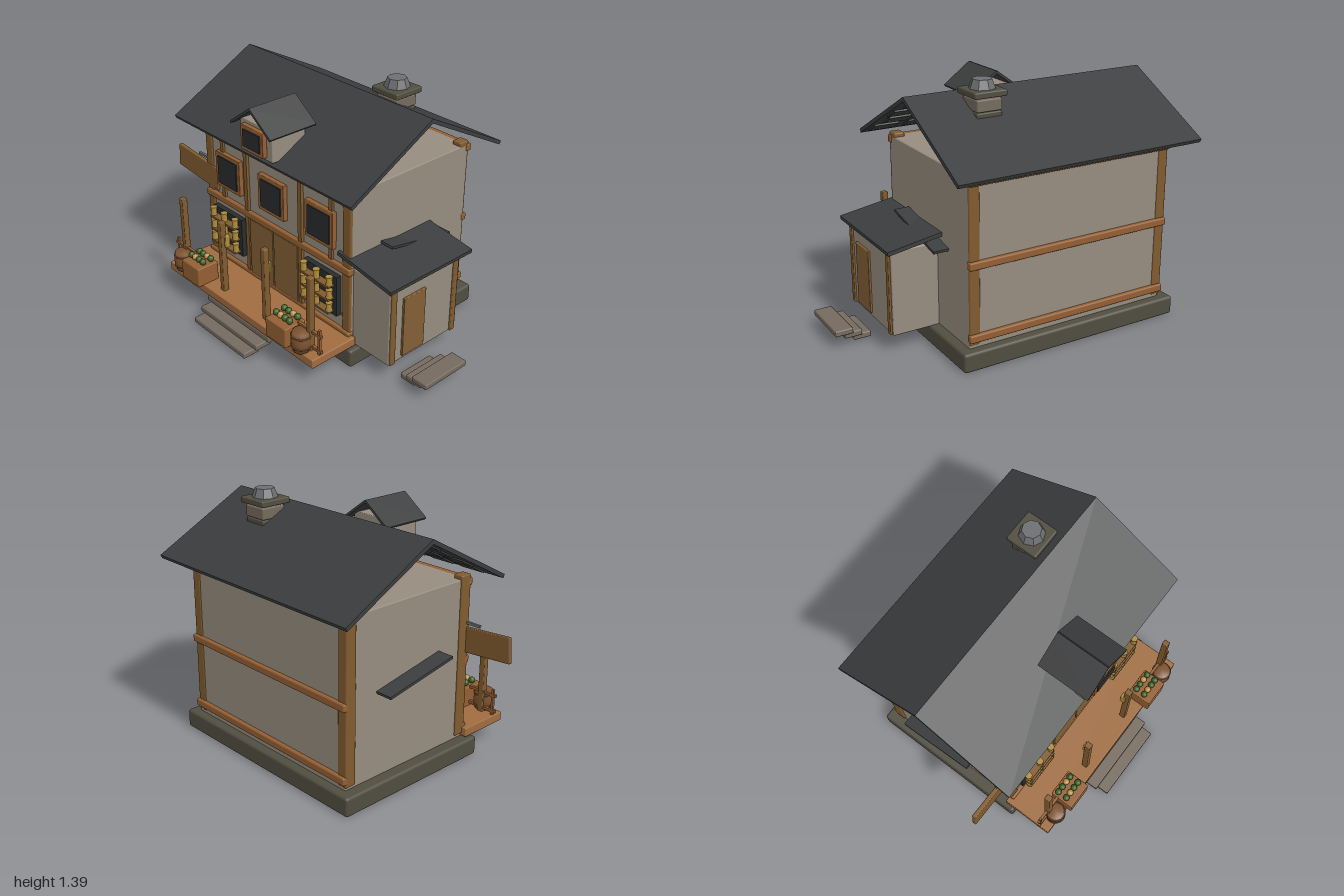
import * as THREE from 'three';
import { RoundedBoxGeometry } from 'three/addons/geometries/RoundedBoxGeometry.js';

const mat = (color, extra = {}) => new THREE.MeshStandardMaterial({ color, ...extra });
const M = {
  wall: mat(0x978c7f), trim: mat(0x935f33), wood: mat(0x805b2f), deck: mat(0xa06c40),
  door: mat(0x835f35), roof: mat(0x3c3d3e), glass: mat(0x2a2b2d), base: mat(0x504d40),
  step: mat(0x756a5e), metal: mat(0x6e6f72, { flatShading: true }), gold: mat(0xb08c3c),
  green: mat(0x3f6128), fruit: mat(0xb8924a), barrel: mat(0x7d5230),
};

export function createModel() {
  const root = new THREE.Group();
  let parent = root;
  const add = (name, geo, m, x, y, z) => {
    const mesh = new THREE.Mesh(geo, m);
    mesh.name = name;
    mesh.position.set(x, y, z);
    parent.add(mesh);
    return mesh;
  };
  // Box given by its extents; r > 0 rounds the edges
  const box = (name, m, x0, x1, y0, y1, z0, z1, r = 0) => {
    const s = [x1 - x0, y1 - y0, z1 - z0];
    const geo = r ? new RoundedBoxGeometry(...s, 2, r) : new THREE.BoxGeometry(...s);
    return add(name, geo, m, (x0 + x1) / 2, (y0 + y1) / 2, (z0 + z1) / 2);
  };
  const group = (name, build) => {
    const g = new THREE.Group();
    g.name = name;
    root.add(g);
    parent = g;
    build();
    parent = root;
  };
  // Slab running from a to b in the z-y plane, spanning x0..x1
  const slopeZ = (name, m, x0, x1, [za, ya], [zb, yb], t) => {
    const slab = add(name, new THREE.BoxGeometry(x1 - x0, t, Math.hypot(zb - za, yb - ya)), m,
      (x0 + x1) / 2, (ya + yb) / 2, (za + zb) / 2);
    slab.rotation.x = -Math.atan2(yb - ya, zb - za);
    return slab;
  };
  // Slab running from a to b in the x-y plane, spanning z0..z1
  const slopeX = (name, m, z0, z1, [xa, ya], [xb, yb], t) => {
    const slab = add(name, new THREE.BoxGeometry(Math.hypot(xb - xa, yb - ya), t, z1 - z0), m,
      (xa + xb) / 2, (ya + yb) / 2, (z0 + z1) / 2);
    slab.rotation.z = Math.atan2(yb - ya, xb - xa);
    return slab;
  };
  // Framed window on a front wall
  const frontWindow = (x, y, z, w, h, f) => {
    for (const s of [-1, 1]) {
      box('windowFrameSide', M.trim, x + s * (w - f) / 2 - f / 2, x + s * (w - f) / 2 + f / 2, y - h / 2, y + h / 2, z, z + 0.03, 0.004);
      box('windowFrameRail', M.trim, x - w / 2, x + w / 2, y + s * (h - f) / 2 - f / 2, y + s * (h - f) / 2 + f / 2, z, z + 0.03, 0.004);
    }
    box('windowGlass', M.glass, x - w / 2 + f, x + w / 2 - f, y - h / 2 + f, y + h / 2 - f, z, z + 0.035);
  };

  box('foundation', M.base, -0.77, 0.55, 0, 0.105, -0.625, 0.33, 0.015);
  box('houseWalls', M.wall, -0.705, 0.495, 0.1, 1.0, -0.575, 0.28, 0.006);

  group('timberFrame', () => {
    for (const x of [-0.685, 0.465]) {
      box('frontCornerPost', M.wood, x - 0.03, x + 0.03, 0.12, 1.022, 0.22, 0.288, 0.008);
      box('backCornerPost', M.wood, x - 0.03, x + 0.03, 0.12, 1.022, -0.58, -0.515, 0.008);
    }
    for (const y of [0.16, 0.552, 0.98]) {
      box('frontBeam', M.trim, -0.715, 0.5, y - 0.021, y + 0.021, 0.26, 0.302, 0.008);
      box('backBeam', M.trim, -0.715, 0.5, y - 0.021, y + 0.021, -0.597, -0.56, 0.008);
    }
    for (const x of [-0.34, 0.115]) box('wallStud', M.wood, x - 0.014, x + 0.014, 0.16, 0.96, 0.27, 0.298);
    for (const x of [-0.555, 0.35]) box('wallStud', M.wood, x - 0.013, x + 0.013, 0.56, 0.96, 0.27, 0.294);
  });

  group('upperWindows', () => {
    for (const x of [-0.49, -0.11, 0.275]) frontWindow(x, 0.75, 0.278, 0.215, 0.215, 0.024);
  });

  group('frontDoors', () => {
    for (const s of [-1, 1]) box('doorLeaf', M.door, s < 0 ? -0.315 : -0.107, s < 0 ? -0.113 : 0.095, 0.16, 0.53, 0.27, 0.3, 0.004);
  });

  // Display windows with rows of jars
  group('displayShelves', () => {
    for (const cx of [-0.505, 0.29]) {
      box('displayBack', M.glass, cx - 0.13, cx + 0.13, 0.255, 0.495, 0.27, 0.312);
      for (const y of [0.285, 0.365, 0.445]) {
        box('shelf', M.wood, cx - 0.11, cx + 0.11, y - 0.007, y + 0.005, 0.3, 0.355);
        for (const dx of [-0.1, 0, 0.1]) {
          add('jar', new THREE.CylinderGeometry(0.016, 0.018, 0.042, 10), M.gold, cx + dx, y + 0.026, 0.336);
          add('jarLid', new THREE.CylinderGeometry(0.02, 0.02, 0.01, 10), M.gold, cx + dx, y + 0.052, 0.336);
        }
      }
    }
  });

  // Main roof, open at the gable ends, with tile panels under the front slope
  group('mainRoof', () => {
    slopeZ('frontRoofSlope', M.roof, -0.835, 0.615, [-0.15, 1.305], [0.398, 1.013], 0.022);
    slopeZ('backRoofSlope', M.roof, -0.835, 0.615, [-0.695, 1.013], [-0.14, 1.305], 0.022);
    for (let r = 0; r < 4; r++) for (let c = 0; c < 7; c++) {
      const z = -0.12 + r * 0.125, x = -0.78 + c * 0.2 + (r % 2) * 0.03, y = (v) => 1.225 - v * 0.533 - 0.014;
      slopeZ('roofTilePanel', M.roof, x, x + 0.14, [z, y(z)], [z + 0.09, y(z + 0.09)], 0.014);
    }
  });

  group('dormer', () => {
    box('dormerWalls', M.wall, -0.22, 0.04, 1.04, 1.22, 0.185, 0.405, 0.005);
    slopeX('dormerRoofLeft', M.roof, 0.138, 0.443, [0.07, 1.188], [-0.092, 1.306], 0.014);
    slopeX('dormerRoofRight', M.roof, 0.138, 0.443, [-0.252, 1.188], [-0.09, 1.306], 0.014);
    frontWindow(-0.091, 1.13, 0.405, 0.18, 0.14, 0.022);
  });

  group('chimney', () => {
    for (let i = 0; i < 4; i++)
      box('chimneyBlock', i % 2 ? M.step : M.base, 0.168, 0.312, 1.038 + i * 0.066, 1.101 + i * 0.066, -0.347, -0.2, 0.007);
    box('chimneyCap', M.base, 0.148, 0.334, 1.308, 1.342, -0.365, -0.18, 0.008);
    add('chimneyPot', new THREE.CylinderGeometry(0.052, 0.07, 0.048, 8), M.metal, 0.241, 1.366, -0.273);
  });

  group('annex', () => {
    box('annexWalls', M.wall, 0.48, 0.757, 0.1, 0.565, -0.25, 0.262, 0.006);
    for (const z of [0.237, -0.218]) box('annexPost', M.wood, 0.735, 0.767, 0.1, 0.58, z - 0.018, z + 0.018, 0.005);
    box('annexDoor', M.door, 0.745, 0.769, 0.122, 0.477, 0.01, 0.17, 0.004);
    slopeX('annexRoof', M.roof, -0.3, 0.3, [0.412, 0.638], [0.795, 0.578], 0.022);
  });

  // Small tilted awnings on both side walls
  for (const [x0, x1] of [[-0.8, -0.69], [0.48, 0.58]])
    slopeZ('sideAwning', M.roof, x0, x1, [-0.37, 0.565], [0.072, 0.65], 0.014);

  group('porch', () => {
    box('porchDeck', M.deck, -0.745, 0.525, 0.108, 0.16, 0.27, 0.572, 0.006);
    for (const x of [-0.655, -0.295, 0.08, 0.44])
      box('porchPost', M.wood, x - 0.017, x + 0.017, 0.155, 0.6, 0.49, 0.525, 0.005);
    for (const x of [-0.282, 0.073]) {
      box('lantern', M.gold, x - 0.017, x + 0.017, 0.44, 0.515, 0.474, 0.505, 0.005);
    }
    for (const [x0, x1, xe] of [[-0.75, -0.57, -0.73], [0.345, 0.525, 0.507]]) {
      for (const y of [0.182, 0.275]) box('railBar', M.trim, x0, x1, y - 0.008, y + 0.008, 0.5, 0.516);
      box('railPicket', M.trim, xe - 0.007, xe + 0.007, 0.155, 0.31, 0.501, 0.515);
    }
  });

  group('barrels', () => {
    const profile = [[0, 0], [0.046, 0], [0.054, 0.035], [0.056, 0.06], [0.053, 0.09], [0.047, 0.115], [0, 0.115]];
    const geo = new THREE.LatheGeometry(profile.map((p) => new THREE.Vector2(...p)), 16);
    for (const x of [-0.637, 0.408]) {
      add('barrel', geo, M.barrel, x, 0.157, 0.545);
      for (const y of [0.185, 0.25])
        add('barrelHoop', new THREE.TorusGeometry(0.053, 0.004, 6, 20), M.wood, x, y, 0.545).rotation.x = Math.PI / 2;
    }
  });

  group('produceCrates', () => {
    for (const cx of [-0.49, 0.27]) {
      box('crate', M.trim, cx - 0.08, cx + 0.08, 0.155, 0.272, 0.465, 0.605, 0.006);
      for (let i = 0; i < 4; i++) for (let j = 0; j < 2; j++)
        add('produce', new THREE.SphereGeometry(0.019, 10, 8), (i + j) % 3 === 2 ? M.fruit : M.green,
          cx - 0.054 + i * 0.036, 0.292, 0.495 + j * 0.055);
    }
  });

  group('steps', () => {
    for (let i = 0; i < 3; i++) {
      const w = 0.227 + i * 0.024, h = 0.11 + i * 0.021, y = 0.004 + i * 0.033;
      box('frontStep', M.step, -0.108 - w, -0.108 + w, y, y + 0.033, 0.6 - i * 0.065, 0.7 - i * 0.065, 0.006);
      box('sideStep', M.step, 0.785 + i * 0.058, 0.882 + i * 0.059, y + 0.004, y + 0.036, 0.085 - h, 0.085 + h, 0.006);
    }
  });

  // Hanging sign board and its bracket
  group('hangingSign', () => {
    box('signBoard', M.wood, -0.995, -0.607, 0.6, 0.74, 0.268, 0.291, 0.005).rotation.z = -0.08;
    box('signBracket', M.metal, -0.8, -0.68, 0.752, 0.766, 0.268, 0.282);
  });

  return root;
}
